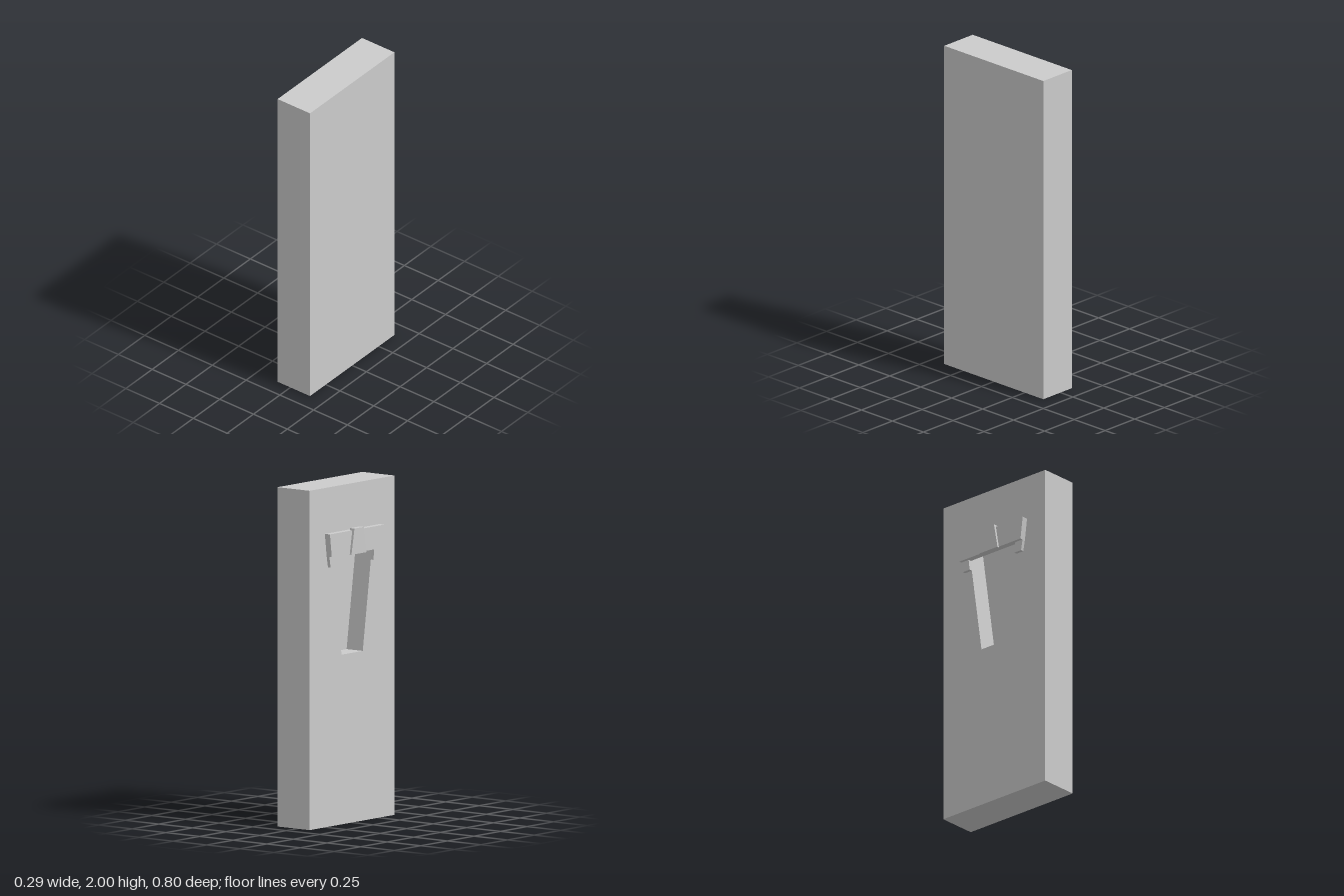
import * as THREE from 'three';

const FACE = -0.095;   // x of the slab face that carries the recess
const BACK = 0.145;    // x of the opposite face
const DEPTH = 0.12;    // recess depth

// Recess outline and its mirror-symmetric helper, as [z, y] corners
const trapezoid = (zBottom, yBottom, zTop, yTop) => [
  [-zBottom, yBottom], [zBottom, yBottom], [zTop, yTop], [-zTop, yTop],
];
const toVectors = (points) => points.map(([z, y]) => new THREE.Vector2(z, y));

export function createModel() {
  const group = new THREE.Group();
  const material = new THREE.MeshStandardMaterial({ color: 0xcccccc, flatShading: true });

  const add = (name, geometry) => {
    const mesh = new THREE.Mesh(geometry, material);
    mesh.name = name;
    group.add(mesh);
    return mesh;
  };
  // Turns a [z, y] drawing so that it faces -x, at the given x
  const faceOut = (geometry, x) => geometry.rotateY(-Math.PI / 2).translate(x, 0, 0);
  const panel = (points, x, thickness) => faceOut(
    new THREE.ExtrudeGeometry(new THREE.Shape(toVectors(points)), { depth: thickness, bevelEnabled: false }), x);

  // Slab: a box whose recessed face is left out and replaced by a face with a hole
  const box = new THREE.BoxGeometry(BACK - FACE, 2, 0.8).translate((BACK + FACE) / 2, 1, 0);
  const index = Array.from(box.index.array);
  index.splice(6, 6);
  box.setIndex(index);
  box.clearGroups();
  add('slab', box);

  const recess = trapezoid(0.1, 1.0, 0.2, 1.7);
  const face = new THREE.Shape(toVectors(trapezoid(0.4, 0, 0.4, 2)));
  face.holes.push(new THREE.Path(toVectors(recess)));
  add('slabFace', faceOut(new THREE.ShapeGeometry(face), FACE));

  // Tapered recess: back wall and four sides facing inwards
  add('recessBack', faceOut(new THREE.ShapeGeometry(new THREE.Shape(toVectors(recess))), FACE + DEPTH));
  const walls = [];
  recess.forEach(([z0, y0], i) => {
    const [z1, y1] = recess[(i + 1) % recess.length];
    const a = [FACE, y0, z0], b = [FACE, y1, z1];
    const c = [FACE + DEPTH, y1, z1], d = [FACE + DEPTH, y0, z0];
    walls.push(...a, ...b, ...c, ...a, ...c, ...d);
  });
  const wallGeometry = new THREE.BufferGeometry();
  wallGeometry.setAttribute('position', new THREE.Float32BufferAttribute(walls, 3));
  wallGeometry.computeVertexNormals();
  add('recessWalls', wallGeometry);

  // Bracket plate across the top of the recess
  add('bracketPlate', panel(trapezoid(0.24, 1.595, 0.257, 1.73), FACE, 0.038));

  // Thin feet below the plate, beside the recess
  for (const side of [-1, 1]) {
    const foot = [[0.175, 1.53], [0.228, 1.53], [0.24, 1.595], [0.183, 1.595]];
    const points = foot.map(([z, y]) => [side * z, y]);
    add(side > 0 ? 'leftFoot' : 'rightFoot', panel(points, FACE, 0.02));
  }

  // Centre clip, wider and thinner at its lower end
  const clip = panel(trapezoid(0.071, 1.59, 0.045, 1.742), -0.115, 0.033);
  const p = clip.attributes.position;
  for (let i = 0; i < p.count; i++) {
    if (p.getY(i) < 1.65) p.setX(i, p.getX(i) > -0.13 ? -0.131 : -0.146);
  }
  clip.computeVertexNormals();
  add('centreClip', clip);

  return group;
}
